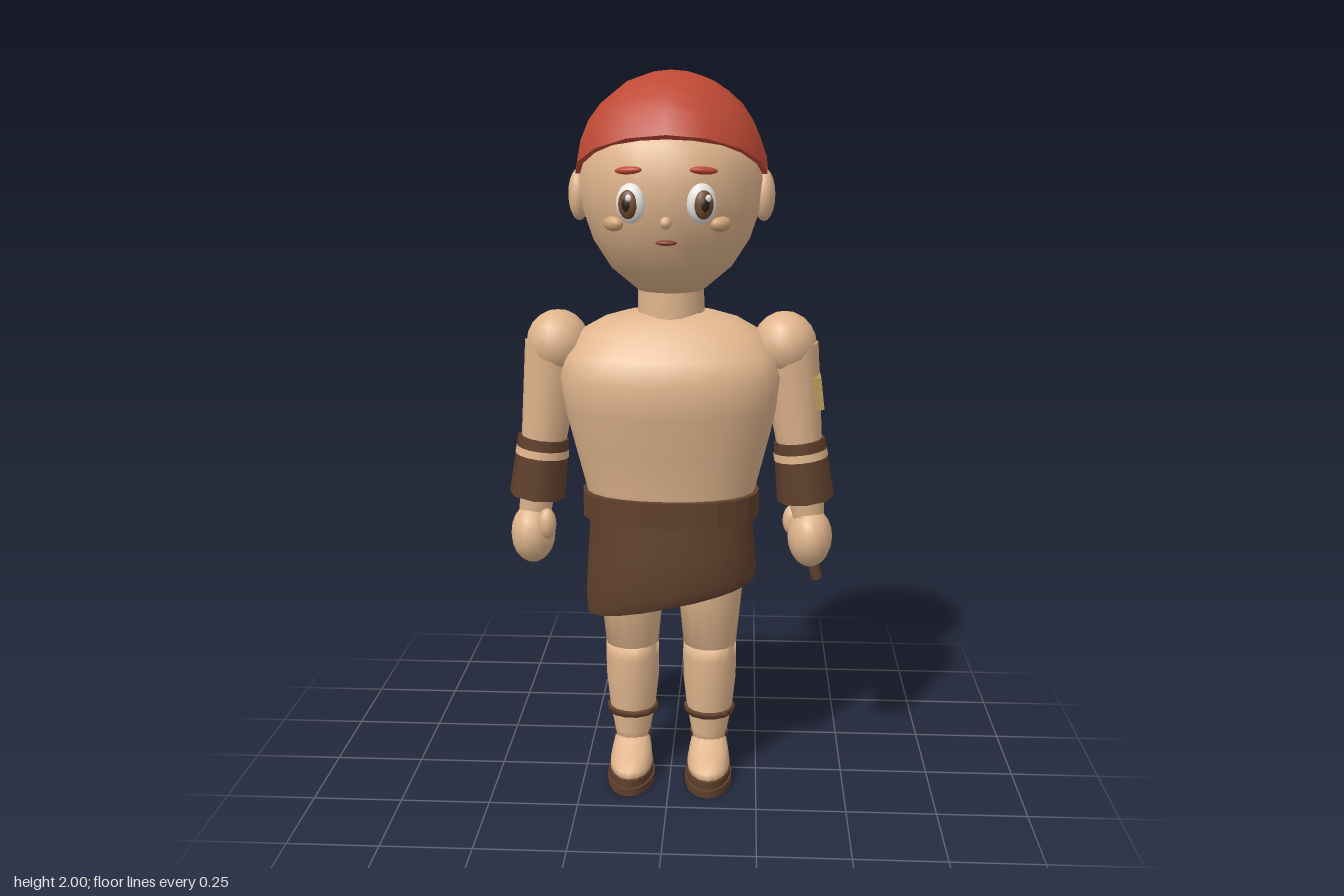
import * as THREE from 'three';

const mat = (name, color, side = THREE.FrontSide) => {
  const m = new THREE.MeshStandardMaterial({ color, side });
  m.name = name;
  return m;
};

export function createModel() {
  const root = new THREE.Group();
  const skin = mat('skin', 0xdfb48c);
  const blush = mat('cheek', 0xd0a374);
  const hairMat = mat('red hair', 0xc04a36, THREE.DoubleSide);
  const leather = mat('brown leather', 0x60402c, THREE.DoubleSide);
  const white = mat('eye white', 0xe8e6e2);
  const iris = mat('iris brown', 0x70492e);
  const black = mat('pupil', 0x2a1c14);
  const gold = mat('gold', 0xb8985a);
  const lip = mat('lip', 0x8c4034);

  const add = (name, geo, material, parent = root, pos = [0, 0, 0]) => {
    const m = new THREE.Mesh(geo, material);
    m.name = name;
    m.position.set(...pos);
    parent.add(m);
    return m;
  };
  const ball = (name, pos, scale, material, parent = root, w = 14, h = 10) => {
    const m = add(name, new THREE.SphereGeometry(1, w, h), material, parent, pos);
    m.scale.set(...scale);
    return m;
  };
  // tapered limb between two points
  const limb = (name, a, b, ra, rb, material, parent, sides = 12) => {
    const A = new THREE.Vector3(...a), B = new THREE.Vector3(...b), d = A.clone().sub(B);
    const m = add(name, new THREE.CylinderGeometry(ra, rb, d.length(), sides), material, parent);
    m.position.copy(A).add(B).multiplyScalar(0.5);
    m.quaternion.setFromUnitVectors(new THREE.Vector3(0, 1, 0), d.normalize());
    return m;
  };
  // rings from bottom to top: [y, halfWidth, zFront, zBack, slope of y along x]
  const loft = (rings, n = 20, power = 2, capped = true) => {
    const p = [], idx = [], e = 2 / power;
    const round = (v) => Math.sign(v) * Math.abs(v) ** e;
    rings.forEach(([y, rx, zf, zb, slope = 0]) => {
      for (let j = 0; j < n; j++) {
        const a = (j / n) * Math.PI * 2, x = rx * round(Math.cos(a));
        p.push(x, y + slope * x, (zf + zb) / 2 + ((zf - zb) / 2) * round(Math.sin(a)));
      }
    });
    for (let i = 0; i < rings.length - 1; i++)
      for (let j = 0; j < n; j++) {
        const k = (j + 1) % n, a = i * n + j, b = i * n + k;
        idx.push(a, a + n, b, b, a + n, b + n);
      }
    if (capped) {
      const t = (rings.length - 1) * n;
      for (let j = 1; j < n - 1; j++) idx.push(0, j, j + 1, t, t + j + 1, t + j);
    }
    const g = new THREE.BufferGeometry();
    g.setAttribute('position', new THREE.Float32BufferAttribute(p, 3));
    g.setIndex(idx);
    g.computeVertexNormals();
    return g;
  };

  // head, neck and ears
  const skull = [[0, 1.405], [0.09, 1.422], [0.165, 1.485], [0.213, 1.56], [0.24, 1.64], [0.248, 1.72],
    [0.23, 1.81], [0.16, 1.885], [0, 1.92]].map(([x, y]) => new THREE.Vector2(x, y));
  add('head', new THREE.LatheGeometry(skull, 20), skin).scale.z = 1.04;
  add('neck', new THREE.CylinderGeometry(0.09, 0.092, 0.13, 16), skin, root, [0, 1.375, 0]);
  for (const s of [1, -1]) ball('ear', [s * 0.25, 1.675, -0.015], [0.03, 0.07, 0.046], skin);

  // cap of hair tilted down towards the back
  const hair = new THREE.Group();
  hair.name = 'hair';
  hair.position.set(0, 1.72, -0.015);
  hair.rotation.x = -0.425;
  hair.scale.set(0.262, 0.28, 0.288);
  root.add(hair);
  add('hairCap', new THREE.SphereGeometry(1, 16, 7, 0, Math.PI * 2, 0, Math.PI / 2), hairMat, hair);
  add('hairUnderside', new THREE.CircleGeometry(1, 16), hairMat, hair).rotation.x = Math.PI / 2;

  // face
  for (const s of [1, -1]) {
    const eye = new THREE.Group();
    eye.name = 'eye';
    eye.position.set(s * 0.09, 1.67, 0.242);
    eye.rotation.y = s * 0.36;
    root.add(eye);
    ball('eyeWhite', [0, 0, 0], [0.04, 0.051, 0.024], white, eye);
    ball('iris', [0, -0.002, 0.014], [0.027, 0.037, 0.017], iris, eye);
    ball('pupil', [0, -0.002, 0.022], [0.015, 0.022, 0.011], black, eye);
    ball('eyeGlint', [0.008, 0.015, 0.03], [0.008, 0.009, 0.005], white, eye);
    const brow = ball('eyebrow', [s * 0.095, 1.752, 0.245], [0.038, 0.01, 0.016], hairMat);
    brow.rotation.set(0, s * 0.36, s * -0.06);
    ball('cheek', [s * 0.138, 1.615, 0.195], [0.03, 0.02, 0.02], blush).rotation.y = s * 0.6;
  }
  ball('nose', [0, 1.622, 0.258], [0.015, 0.016, 0.02], skin);
  ball('mouth', [0, 1.57, 0.238], [0.028, 0.007, 0.016], lip);

  // torso, belt and slanted wrap skirt
  add('torso', loft([
    [0.78, 0.22, 0.155, -0.14], [0.87, 0.238, 0.165, -0.143], [0.98, 0.265, 0.185, -0.145],
    [1.1, 0.293, 0.213, -0.145], [1.19, 0.305, 0.225, -0.145], [1.25, 0.29, 0.195, -0.138],
    [1.31, 0.25, 0.14, -0.12], [1.345, 0.185, 0.1, -0.1], [1.362, 0.12, 0.07, -0.08]], 24, 2.2), skin);
  const belt = add('belt', loft([[0.79, 0.248, 0.182, -0.163], [0.862, 0.248, 0.182, -0.163]], 24, 2.3).toNonIndexed(), leather);
  belt.geometry.computeVertexNormals();
  add('skirt', loft([
    [0.555, 0.24, 0.165, -0.15, 0.22], [0.59, 0.243, 0.182, -0.165, 0.18],
    [0.68, 0.237, 0.18, -0.163, 0.08], [0.81, 0.226, 0.17, -0.152]], 24, 2.3, false), leather);

  // legs and sandals
  for (const s of [1, -1]) {
    const leg = new THREE.Group();
    leg.name = 'leg';
    leg.position.x = s * 0.112;
    root.add(leg);
    add('thigh', loft([[0.4, 0.076, 0.08, -0.072], [0.58, 0.093, 0.098, -0.085], [0.8, 0.1, 0.11, -0.1]], 14), skin, leg);
    add('calf', loft([
      [0.09, 0.047, 0.06, -0.035], [0.13, 0.052, 0.06, -0.04], [0.2, 0.066, 0.07, -0.065],
      [0.29, 0.076, 0.079, -0.088], [0.36, 0.077, 0.08, -0.075], [0.4, 0.076, 0.08, -0.072]], 14), skin, leg);
    add('shinBand', loft([[0.187, 0.073, 0.079, -0.072], [0.203, 0.074, 0.08, -0.073]], 14), leather, leg);
    add('ankleStrap', loft([[0.108, 0.055, 0.066, -0.044], [0.122, 0.056, 0.066, -0.045]], 14), leather, leg).rotation.x = -0.1;
    add('foot', loft([
      [0.035, 0.06, 0.185, -0.045], [0.06, 0.061, 0.172, -0.046], [0.085, 0.056, 0.115, -0.044],
      [0.108, 0.05, 0.068, -0.04], [0.12, 0.045, 0.055, -0.035]], 16), skin, leg);
    [[0.01, 0.068, 0.125], [0.034, 0.064, 0.121]].forEach(([y, rx, rz]) =>
      add('sandalSole', new THREE.CylinderGeometry(1, 1, 0.021, 18), leather, leg, [0, y, 0.07]).scale.set(rx, 1, rz));
  }

  // arms with leather bracers
  for (const s of [1, -1]) {
    const arm = new THREE.Group();
    arm.name = s > 0 ? 'leftArm' : 'rightArm';
    root.add(arm);
    ball('shoulder', [s * 0.312, 1.272, 0.006], [0.088, 0.092, 0.092], skin, arm);
    limb('upperArm', [s * 0.322, 1.27, 0.006], [s * 0.36, 0.98, 0.006], 0.083, 0.062, skin, arm);
    limb('bracer', [s * 0.358, 1.005, 0.006], [s * 0.379, 0.835, 0.006], 0.072, 0.08, leather, arm, 8);
    // bare strip across the front of the bracer
    const strip = add('elbowStrip', new THREE.CylinderGeometry(0.074, 0.076, 0.022, 8, 1, true, -Math.PI / 2, Math.PI), skin, arm,
      [s * 0.362, 0.965, 0.008]);
    strip.rotation.z = s * 0.12;
    limb('wrist', [s * 0.379, 0.85, 0.006], [s * 0.388, 0.78, 0.006], 0.05, 0.045, skin, arm);
    ball('hand', [s * 0.393, 0.724, 0.012], [0.063, 0.086, 0.078], skin, arm);
    ball('thumb', s > 0 ? [0.342, 0.765, -0.01] : [-0.346, 0.765, 0.06], [0.026, 0.044, 0.028], skin, arm);
  }
  limb('handleStub', [0.393, 0.69, 0.012], [0.416, 0.6, 0.012], 0.016, 0.016, leather, root, 8);
  add('armPlate', new THREE.BoxGeometry(0.024, 0.09, 0.09), gold, root, [0.405, 1.145, 0.018]).rotation.z = 0.12;

  return root;
}
